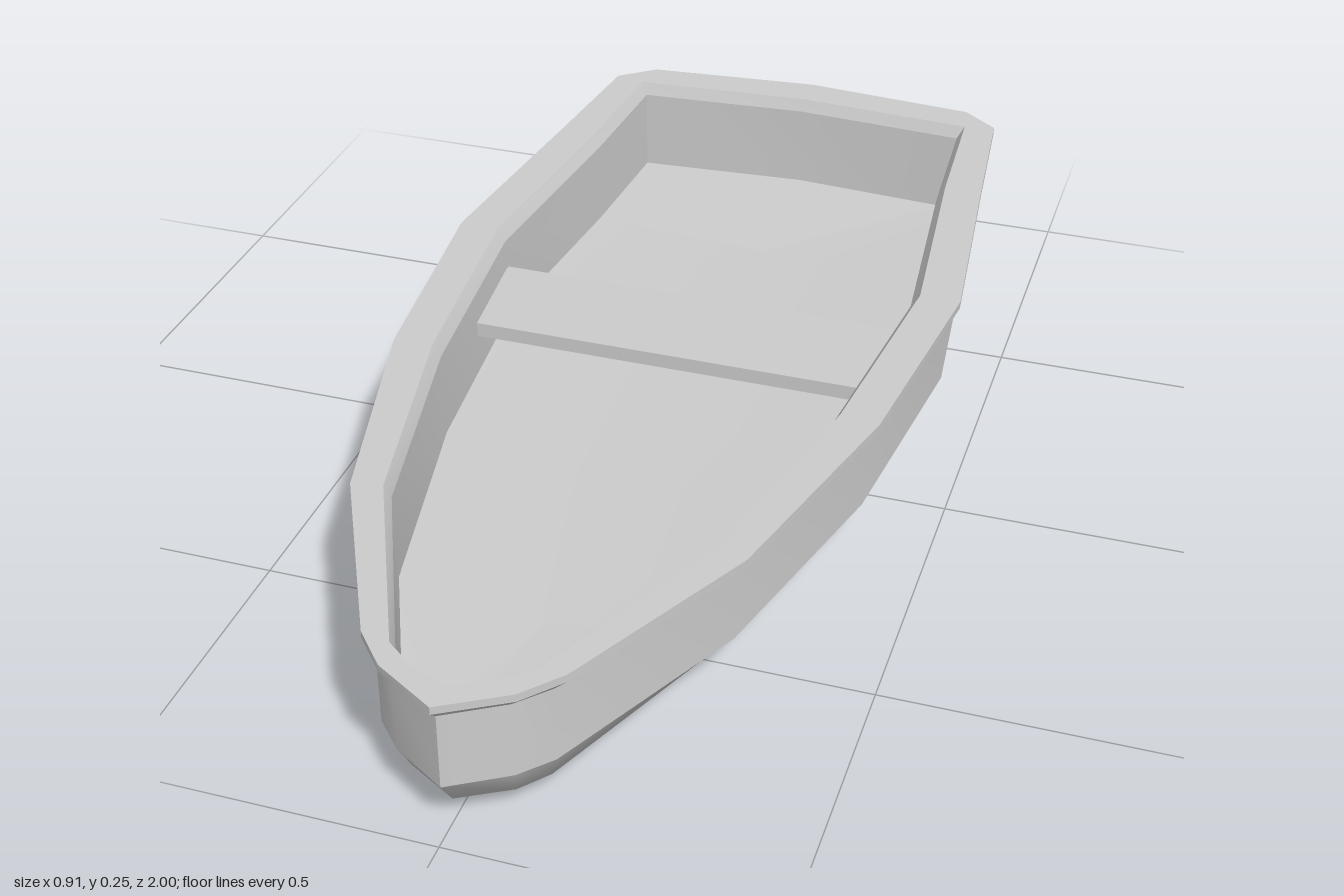
import * as THREE from 'three';
import { toCreasedNormals } from 'three/addons/utils/BufferGeometryUtils.js';

const material = new THREE.MeshStandardMaterial({ color: 0xcccccc });

// Half outlines [x, z] running from stern to bow
const RIM_OUTER = [[0, -1], [0.32, -0.972], [0.385, -0.92], [0.412, -0.66], [0.457, -0.25],
  [0.413, 0.16], [0.312, 0.56], [0.152, 0.88], [0.10, 0.94], [0, 1]];
const HULL = [[0, -0.977], [0.30, -0.922], [0.362, -0.91], [0.392, -0.66], [0.434, -0.25],
  [0.392, 0.16], [0.292, 0.55], [0.132, 0.88], [0.088, 0.928], [0, 0.982]];
const BILGE = [[0, -0.915], [0.25, -0.892], [0.318, -0.882], [0.335, -0.63], [0.366, -0.25],
  [0.335, 0.15], [0.248, 0.54], [0.115, 0.855], [0.078, 0.9], [0, 0.945]];
const RIM_INNER = [[0, -0.93], [0.28, -0.911], [0.33, -0.908], [0.346, -0.65], [0.387, -0.25],
  [0.347, 0.15], [0.262, 0.55], [0.105, 0.89], [0.06, 0.925], [0, 0.952]];

// Closed ring at height y: mirrors a half outline, scaled in x and z
function ring(half, y, sx = 1, sz = 1) {
  const right = half.map(([x, z]) => new THREE.Vector3(x * sx, y, z * sz));
  const left = right.slice(1, -1).reverse().map((p) => new THREE.Vector3(-p.x, p.y, p.z));
  return [...right, ...left];
}

// Ring flattened to a straight centre line that stops short of both ends
function centreLine(half, y) {
  return ring(half.map(([, z]) => [0, THREE.MathUtils.clamp(z, -0.655, 0.565)]), y);
}

// Skin between successive rings, leaving out collapsed triangles
function loft(name, rings, crease) {
  const positions = [];
  const triangle = (a, b, c) => {
    if (a.equals(b) || b.equals(c) || c.equals(a)) return;
    for (const p of [a, b, c]) positions.push(p.x, p.y, p.z);
  };
  for (let r = 0; r < rings.length - 1; r++) {
    const low = rings[r], high = rings[r + 1], n = low.length;
    for (let i = 0; i < n; i++) {
      const j = (i + 1) % n;
      triangle(low[i], high[i], high[j]);
      triangle(low[i], high[j], low[j]);
    }
  }
  const geometry = new THREE.BufferGeometry();
  geometry.setAttribute('position', new THREE.Float32BufferAttribute(positions, 3));
  const mesh = new THREE.Mesh(toCreasedNormals(geometry, crease), material);
  mesh.name = name;
  return mesh;
}

export function createModel() {
  const boat = new THREE.Group();
  boat.name = 'rowingBoat';

  const keel = centreLine(BILGE, 0);
  const bilge = ring(BILGE, 0.042);
  const chine = ring(HULL, 0.095);
  const hullTop = ring(HULL, 0.223);
  const rimTopInner = ring(RIM_INNER, 0.253);
  const wallTop = ring(RIM_INNER, 0.23, 0.962, 0.99);
  const floorEdge = ring(RIM_INNER, 0.078, 0.957, 0.988);
  const floorCentre = centreLine(RIM_INNER, 0.056);

  // Shallow V bottom with rounded bilge, then upright sides
  boat.add(loft('hullBottom', [keel, bilge, chine], Math.PI / 2));
  boat.add(loft('hullSides', [chine, hullTop], 0.7));

  // Flared gunwale with a bevelled inner lip
  boat.add(loft('gunwale', [hullTop, ring(RIM_OUTER, 0.24), ring(RIM_OUTER, 0.253),
    rimTopInner, wallTop], 0.5));

  // Inside of the boat, the floor dipping gently to the centre line
  boat.add(loft('innerWalls', [wallTop, floorEdge], 0.7));
  boat.add(loft('floor', [floorEdge, floorCentre], Math.PI / 2));

  // Bench across the middle, its ends set into the walls
  const plank = new THREE.Shape([[-0.385, 0.255], [-0.37, 0.053], [0.37, 0.053], [0.385, 0.255]]
    .map(([x, y]) => new THREE.Vector2(x, y)));
  const benchGeometry = new THREE.ExtrudeGeometry(plank, { depth: 0.026, bevelEnabled: false });
  benchGeometry.rotateX(-Math.PI / 2);
  const bench = new THREE.Mesh(benchGeometry, material);
  bench.name = 'bench';
  bench.position.y = 0.148;
  boat.add(bench);

  return boat;
}
